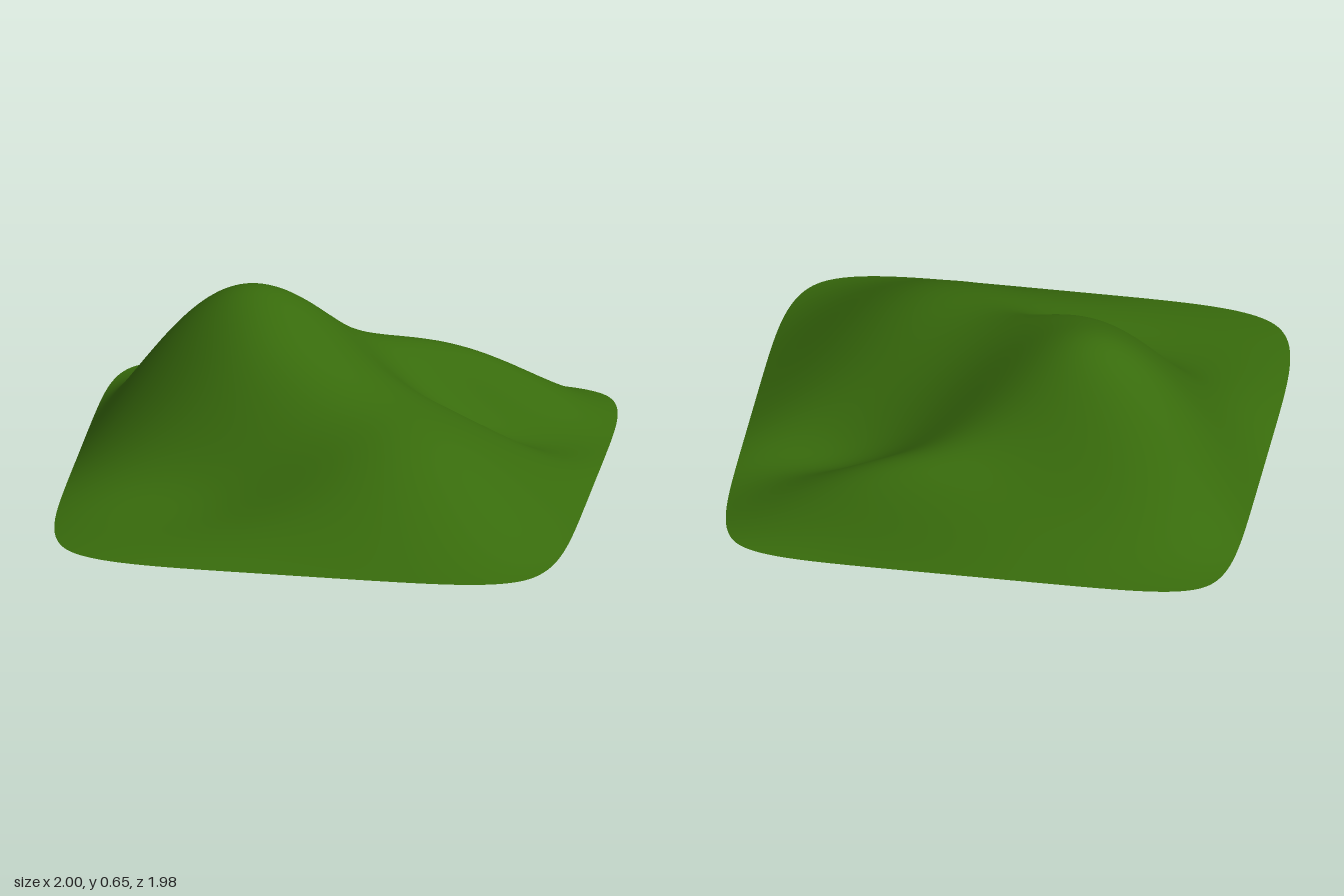
import * as THREE from 'three';

// Soft hills and dips: centre x, centre z, strength, spread in x, spread in z
const HILLS = [
  [-0.62, -0.36, 0.70, 0.70, 0.42],  // main summit
  [-0.35, 0.12, 0.16, 0.45, 0.25],   // spur in front of the summit
  [0.55, 0.55, 0.30, 0.65, 0.65],    // lower front hill
  [0.45, -0.82, 0.45, 0.58, 0.26],   // back shoulder ridge
  [0.65, -0.37, -0.21, 0.50, 0.22],  // valley between ridge and front hill
  [-0.50, 0.62, -0.12, 0.45, 0.32],  // hollow at the front corner
];

// Height falls to zero along the whole border
function height(u, v) {
  let f = 0.2;
  for (const [cx, cz, amp, sx, sz] of HILLS) {
    f += amp * Math.exp(-(((u - cx) / sx) ** 2) - ((v - cz) / sz) ** 2);
  }
  return f * (1 - u * u) * (1 - v * v);
}

// Pulls a corner in to a smooth rounded outline; a higher power gives a tighter corner
const roundIn = (a, b, power) =>
  a * (1 - Math.abs(a) ** power * Math.abs(b) ** (power + 1) / (2 * power + 2));

export function createModel() {
  const group = new THREE.Group();
  group.name = 'hillTerrain';

  const geometry = new THREE.PlaneGeometry(2, 2, 96, 96).rotateX(-Math.PI / 2);
  const pos = geometry.attributes.position;
  for (let i = 0; i < pos.count; i++) {
    const u = pos.getX(i);
    const v = pos.getZ(i);
    const power = v < 0 ? 5 : 3.7; // back corners are tighter than the front ones
    pos.setXYZ(i, roundIn(u, v, power), Math.max(0, height(u, v)), roundIn(v, u, power) * 0.99);
  }
  geometry.computeVertexNormals();

  // Open grassy sheet, hollow underneath
  const grass = new THREE.MeshStandardMaterial({ color: 0x386b0c, side: THREE.DoubleSide });
  const hill = new THREE.Mesh(geometry, grass);
  hill.name = 'grassyHill';
  group.add(hill);
  return group;
}
